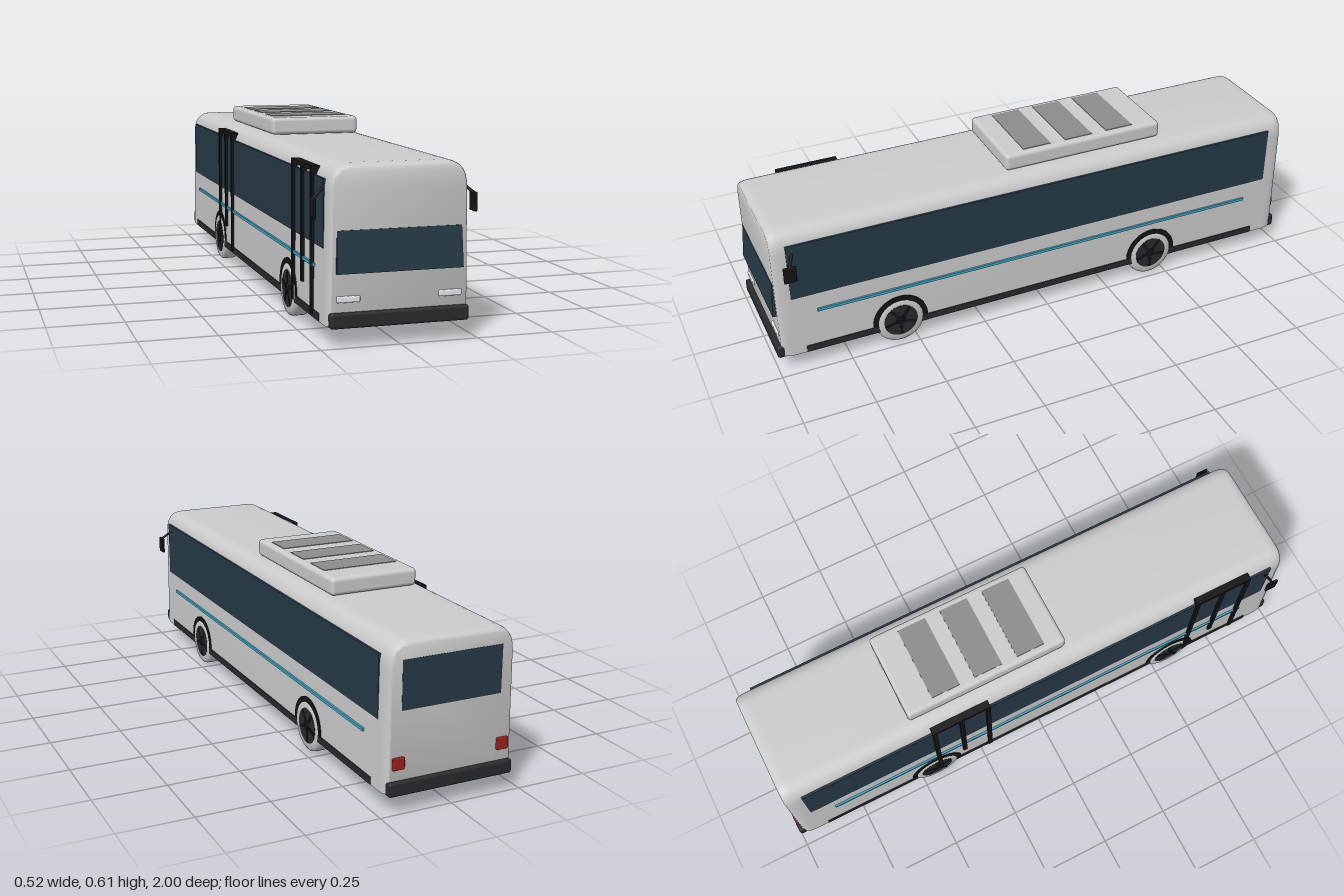
import * as THREE from 'three';
import { toCreasedNormals } from 'three/addons/utils/BufferGeometryUtils.js';
import { RoundedBoxGeometry } from 'three/addons/geometries/RoundedBoxGeometry.js';

const mat = (color) => new THREE.MeshStandardMaterial({ color });
const grey = mat(0xcccccc), dark = mat(0x2a2a2c), black = mat(0x151517), glass = mat(0x263a47);
const blue = mat(0x3fa9c8), red = mat(0x9c2020), lamp = mat(0xe4eaee), vent = mat(0x8c8c8c);

export function createModel() {
  const bus = new THREE.Group();
  bus.name = 'bus';

  const add = (name, geo, material, x = 0, y = 0, z = 0, parent = bus) => {
    const m = new THREE.Mesh(geo, material);
    m.name = name;
    m.position.set(x, y, z);
    parent.add(m);
    return m;
  };
  // Box given by its limits on each axis
  const box = (name, material, [x0, x1], [y0, y1], [z0, z1], r = 0, parent = bus) => {
    const s = [x1 - x0, y1 - y0, z1 - z0];
    const geo = r ? new RoundedBoxGeometry(...s, 3, r) : new THREE.BoxGeometry(...s);
    return add(name, geo, material, (x0 + x1) / 2, (y0 + y1) / 2, (z0 + z1) / 2, parent);
  };
  // Limits on x for a side: s = 1 is left, -1 is right
  const onSide = (s, a, b) => (s > 0 ? [a, b] : [-b, -a]);

  // Body shell: rounded roof section, softly bevelled towards both ends
  const section = new THREE.Shape();
  section.moveTo(-0.213, 0.072);
  section.lineTo(0.213, 0.072);
  section.lineTo(0.208, 0.465);
  section.bezierCurveTo(0.207, 0.51, 0.19, 0.533, 0.15, 0.533);
  section.lineTo(-0.15, 0.533);
  section.bezierCurveTo(-0.19, 0.533, -0.207, 0.51, -0.208, 0.465);
  section.closePath();
  const shell = new THREE.ExtrudeGeometry(section, {
    depth: 1.89, bevelThickness: 0.04, bevelSize: 0.012, bevelSegments: 4, curveSegments: 8,
  });
  shell.translate(0, 0, -0.945);
  add('body', toCreasedNormals(shell, 0.6), grey);

  // Windscreen: leans back and narrows at the top
  const screen = new THREE.BoxGeometry(0.4, 0.128, 0.03);
  const p = screen.attributes.position;
  for (let i = 0; i < p.count; i++) {
    if (p.getY(i) > 0) {
      p.setX(i, p.getX(i) * 0.985);
      if (p.getZ(i) > 0) p.setZ(i, 0.004);
    }
  }
  screen.computeVertexNormals();
  add('windscreen', screen, glass, 0, 0.286, 0.983);
  box('rearWindow', glass, [-0.175, 0.175], [0.33, 0.49], [-0.986, -0.97]);

  // Bumpers
  box('frontBumper', dark, [-0.22, 0.22], [0.058, 0.105], [0.965, 1], 0.008);
  box('rearBumper', dark, [-0.22, 0.22], [0.058, 0.105], [-1, -0.965], 0.008);

  // Roof unit with three vents
  box('roofUnit', grey, [-0.16, 0.16], [0.547, 0.608], [-0.485, 0.122], 0.014);
  for (const z of [-0.33, -0.168, -0.005]) {
    box('roofVent', vent, [-0.137, 0.137], [0.6, 0.61], [z - 0.053, z + 0.053]);
  }

  // Wheel profiles, turned about the axle
  const tyreProfile = [[0.055, 0.03], [0.08, 0.03], [0.088, 0.024], [0.09, 0.016],
    [0.09, -0.016], [0.088, -0.024], [0.08, -0.03], [0.055, -0.03], [0.055, 0.03]]
    .map(([r, y]) => new THREE.Vector2(r, -y));
  const tyre = toCreasedNormals(new THREE.LatheGeometry(tyreProfile.reverse(), 40), 0.7);
  const tyreMaterial = new THREE.MeshStandardMaterial({ color: 0xcccccc, side: THREE.DoubleSide });
  const disc = new THREE.CylinderGeometry(0.062, 0.062, 0.0602, 32);
  const hub = new THREE.CylinderGeometry(0.016, 0.018, 0.004, 16);
  const spoke = new THREE.BoxGeometry(0.045, 0.002, 0.011);

  const addWheel = (s, z) => {
    const wheel = new THREE.Group();
    wheel.name = 'wheel';
    wheel.position.set(s * 0.198, 0.09, z);
    wheel.rotation.z = -s * Math.PI / 2;
    bus.add(wheel);
    add('tyre', tyre, tyreMaterial, 0, 0, 0, wheel);
    add('rim', disc, dark, 0, 0.0006, 0, wheel);
    add('hub', hub, black, 0, 0.032, 0, wheel);
    for (let i = 0; i < 5; i++) {
      const a = i * Math.PI * 2 / 5;
      const m = add('spoke', spoke, black, Math.cos(a) * 0.036, 0.031, -Math.sin(a) * 0.036, wheel);
      m.rotation.y = a;
    }
    // Dark half-round arch behind the tyre
    const arch = new THREE.Shape();
    arch.moveTo(-0.101, -0.03);
    arch.lineTo(0.101, -0.03);
    arch.lineTo(0.101, 0);
    arch.absarc(0, 0, 0.101, 0, Math.PI, false);
    arch.closePath();
    const geo = new THREE.ExtrudeGeometry(arch, { depth: 0.02, bevelEnabled: false, curveSegments: 24 });
    geo.translate(0, 0, -0.01);
    add('wheelArch', geo, black, s * 0.2168, 0.09, z).rotation.y = Math.PI / 2;
  };

  // Parts repeated on both sides
  for (const s of [1, -1]) {
    box('sideWindow', glass, onSide(s, 0.2, 0.2235), [0.29, 0.498], [-0.925, 0.935]);
    box('sideStripe', blue, onSide(s, 0.215, 0.23), [0.22, 0.23], [-0.84, 0.85]);
    box('sideSkirt', dark, onSide(s, 0.2, 0.2272), [0.061, 0.086], [-0.89, 0.9]);
    box('headlight', lamp, onSide(s, 0.125, 0.198), [0.135, 0.154], [0.97, 0.992], 0.004);
    box('tailLight', red, onSide(s, 0.165, 0.205), [0.143, 0.182], [-0.995, -0.97], 0.003);
    for (const z of [0.56, -0.44]) addWheel(s, z);

    // Mirror: slanted arm and hanging blade
    const mirror = new THREE.Group();
    mirror.name = 'mirror';
    bus.add(mirror);
    const arm = new THREE.LineCurve3(
      new THREE.Vector3(s * 0.222, 0.468, 0.915), new THREE.Vector3(s * 0.256, 0.438, 0.935));
    add('mirrorArm', new THREE.TubeGeometry(arm, 1, 0.005, 8), black, 0, 0, 0, mirror);
    box('mirrorBlade', black, onSide(s, 0.251, 0.26), [0.382, 0.442], [0.913, 0.957], 0.003, mirror);
  }

  // Door frames on the right side
  for (const z of [0.73, -0.32]) {
    const door = new THREE.Group();
    door.name = 'door';
    bus.add(door);
    const x = [-0.232, -0.205];
    for (const d of [-0.103, 0.103]) {
      box('doorPost', black, x, [0.07, 0.525], [z + d - 0.008, z + d + 0.008], 0, door);
    }
    box('doorCentrePost', black, x, [0.15, 0.52], [z - 0.008, z + 0.008], 0, door);
    box('doorTopRail', black, x, [0.511, 0.525], [z - 0.111, z + 0.111], 0, door);
  }
  return bus;
}
